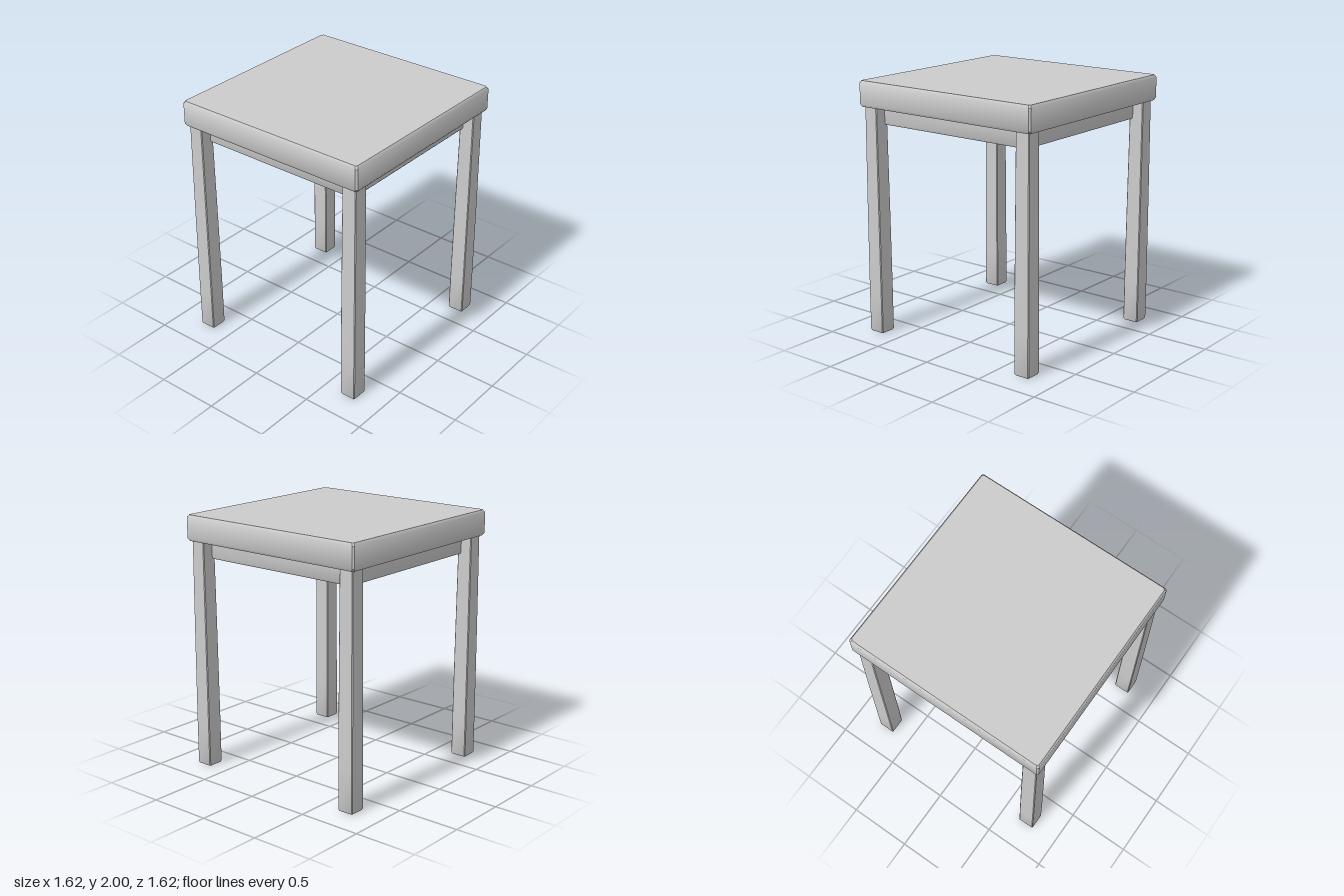
import * as THREE from 'three';
import { toCreasedNormals } from 'three/addons/utils/BufferGeometryUtils.js';

const material = new THREE.MeshStandardMaterial({ color: 0xcccccc });
const openMaterial = new THREE.MeshStandardMaterial({ color: 0xcccccc, side: THREE.DoubleSide });

// Corners of a square with chamfered corners, counter-clockwise seen from +z toward +x
function ring(half, chamfer) {
  const h = half, c = half - chamfer;
  return [[-c, h], [c, h], [h, c], [h, -c], [c, -h], [-c, -h], [-h, -c], [-h, c]];
}

// Stack of chamfered squares; levels are [y, half width], lowest first
function loft(levels, chamfer, capBottom, capTop) {
  const positions = [];
  const index = [];
  for (const [y, half] of levels) {
    for (const [x, z] of ring(half, chamfer)) positions.push(x, y, z);
  }
  for (let l = 0; l < levels.length - 1; l++) {
    for (let i = 0; i < 8; i++) {
      const a = l * 8 + i, b = l * 8 + (i + 1) % 8;
      index.push(a, b, b + 8, a, b + 8, a + 8);
    }
  }
  const top = (levels.length - 1) * 8;
  for (let i = 1; i < 7; i++) {
    if (capBottom) index.push(0, i + 1, i);
    if (capTop) index.push(top, top + i, top + i + 1);
  }
  const geometry = new THREE.BufferGeometry();
  geometry.setAttribute('position', new THREE.Float32BufferAttribute(positions, 3));
  geometry.setIndex(index);
  return toCreasedNormals(geometry, 0.62);
}

export function createModel() {
  const group = new THREE.Group();
  group.name = 'squareTable';

  const add = (name, geometry, mat, x = 0, z = 0) => {
    const mesh = new THREE.Mesh(geometry, mat);
    mesh.name = name;
    mesh.position.set(x, 0, z);
    group.add(mesh);
  };

  // Thick top with bevelled edges
  add('tableTop', loft([[1.8, 0.797], [1.82, 0.81], [1.98, 0.81], [2, 0.797]], 0.013, true, true), material);

  // Solid apron block under the top
  add('apron', loft([[1.66, 0.682], [1.673, 0.69], [1.8, 0.69]], 0.008, true, false), material);

  // Four slightly tapering legs, open at the foot
  const leg = loft([[0, 0.06], [0.012, 0.066], [0.35, 0.066], [1, 0.0635], [1.8, 0.059]], 0.006, false, false);
  for (const [side, x] of [['Left', 0.72], ['Right', -0.72]]) {
    for (const [end, z] of [['front', 0.72], ['back', -0.72]]) {
      add(`${end}${side}Leg`, leg, openMaterial, x, z);
    }
  }
  return group;
}
